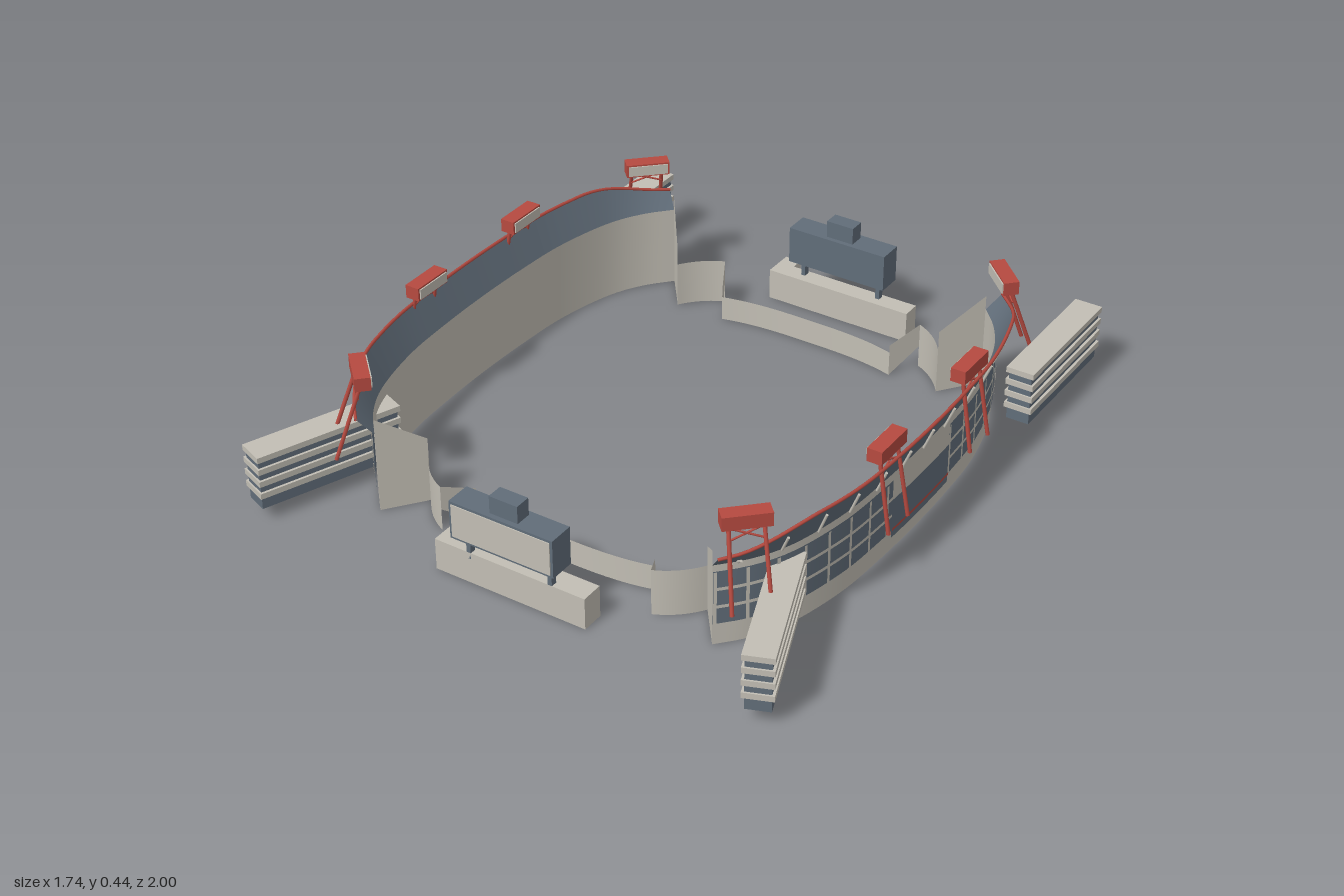
import * as THREE from 'three';

const mat = (name, color, side = THREE.DoubleSide) => {
  const m = new THREE.MeshStandardMaterial({ color, side });
  m.name = name;
  return m;
};

export function createModel() {
  const concrete = mat('concrete', 0xc2beb4);
  const slate = mat('slate', 0x616d79);
  const red = mat('red', 0xb64a40);
  const model = new THREE.Group();
  model.name = 'stadium';

  const add = (parent, name, geo, material) => {
    const mesh = new THREE.Mesh(geo, material);
    mesh.name = name;
    parent.add(mesh);
    return mesh;
  };
  const box = (parent, name, m, x0, x1, y0, y1, z0, z1) => {
    const b = add(parent, name, new THREE.BoxGeometry(x1 - x0, y1 - y0, z1 - z0), m);
    b.position.set((x0 + x1) / 2, (y0 + y1) / 2, (z0 + z1) / 2);
    return b;
  };
  const bar = (parent, name, m, a, b, r) => {
    const va = new THREE.Vector3(...a), d = new THREE.Vector3(...b).sub(va);
    const mesh = add(parent, name, new THREE.CylinderGeometry(r, r, d.length(), 8), m);
    mesh.position.copy(va).addScaledVector(d, 0.5);
    mesh.quaternion.setFromUnitVectors(new THREE.Vector3(0, 1, 0), d.normalize());
  };
  // Surface between two edges, each given as a function of u returning [x, y, z]
  const strip = (parent, name, m, lower, upper, n = 48, u0 = 0, u1 = 1) => {
    const pos = [], idx = [];
    for (let i = 0; i <= n; i++) {
      const u = u0 + (u1 - u0) * i / n;
      pos.push(...lower(u), ...upper(u));
      if (i < n) idx.push(2 * i, 2 * i + 1, 2 * i + 2, 2 * i + 1, 2 * i + 3, 2 * i + 2);
    }
    const g = new THREE.BufferGeometry();
    g.setAttribute('position', new THREE.Float32BufferAttribute(pos, 3));
    g.setIndex(idx);
    g.computeVertexNormals();
    return add(parent, name, g, m);
  };

  // Plan of the left stand, from its back end (u = 0) to its front end (u = 1)
  const half = [[0.555, 0.755], [0.62, 0.68], [0.675, 0.58], [0.725, 0.38], [0.74, 0.2]];
  const plan = new THREE.CatmullRomCurve3([
    ...half.map(([x, z]) => new THREE.Vector3(x, 0, -z)),
    new THREE.Vector3(0.745, 0, 0),
    ...half.slice().reverse().map(([x, z]) => new THREE.Vector3(x, 0, z)),
  ]);
  const at = (off, y) => u => {
    const p = plan.getPointAt(u), t = plan.getTangentAt(u);
    return [p.x + t.z * off, typeof y === 'function' ? y(u) : y, p.z - t.x * off];
  };
  const rimY = u => 0.365 - 0.055 * THREE.MathUtils.smoothstep(Math.abs(u - 0.5), 0.33, 0.5);

  const stand = new THREE.Group();
  stand.name = 'leftStand';
  stand.position.z = 0.015;

  // Main wall and windowed facade
  strip(stand, 'wall', concrete, at(0, 0), at(0, 0.262));
  strip(stand, 'windowBand', slate, at(0.005, 0.07), at(0.005, 0.24));
  for (const y of [0.128, 0.185]) strip(stand, 'facadeRail', concrete, at(0.009, y - 0.005), at(0.009, y + 0.005));
  const mullions = 18;
  for (let i = 0; i <= mullions; i++) {
    const u = 0.003 + 0.994 * i / mullions;
    if (Math.abs(u - 0.5) < 0.1) continue;
    strip(stand, 'mullion', concrete, at(0.009, 0.07), at(0.009, 0.24), 1, u - 0.003, u + 0.003);
  }
  // Entrance bay in the middle of the facade
  strip(stand, 'entranceGlass', slate, at(0.014, 0.06), at(0.014, 0.187), 10, 0.4, 0.6);
  strip(stand, 'entranceHeader', concrete, at(0.014, 0.187), at(0.014, 0.255), 10, 0.4, 0.6);
  strip(stand, 'entranceStripe', red, at(0.017, 0.085), at(0.017, 0.093), 10, 0.4, 0.6);

  // Flared upper tier with ribs and a red rim
  strip(stand, 'upperTier', slate, at(0, 0.258), at(0.048, rimY));
  const ribs = 13;
  for (let i = 0; i < ribs; i++) {
    const u = 0.04 + 0.92 * i / (ribs - 1);
    bar(stand, 'rib', concrete, at(0.014, 0.268)(u), at(0.042, rimY(u) - 0.028)(u), 0.004);
  }
  const rimPoints = Array.from({ length: 25 }, (_, i) => new THREE.Vector3(...at(0.048, rimY)(i / 24)));
  add(stand, 'rim', new THREE.TubeGeometry(new THREE.CatmullRomCurve3(rimPoints), 60, 0.005, 6), red);

  // Lamp mast: local x points outward
  const mast = (x, z, angle, lean) => {
    const g = new THREE.Group();
    g.name = 'lightMast';
    g.position.set(x, 0, z);
    g.rotation.y = -angle;
    box(g, 'lampHousing', red, -0.023, 0.023, 0.393, 0.435, -0.068, 0.068);
    box(g, 'lampFace', concrete, -0.027, -0.023, 0.398, 0.43, -0.062, 0.062);
    for (const s of [-1, 1]) {
      bar(g, 'mastLeg', red, [0.005, 0.4, s * 0.047], [lean, 0.17, s * 0.053], 0.006);
      bar(g, 'mastBrace', red, [0.007, 0.39, s * 0.047], [0.015, 0.355, -s * 0.048], 0.003);
    }
    stand.add(g);
  };
  for (const s of [-1, 1]) {
    mast(0.768, s * 0.232, 0, 0.045);
    mast(0.628, s * 0.712, s * 0.8, 0.088);

    // Wing wall, gate wall and the sloped link to the low end wall
    const line = (a, b, y) => u => [a[0] + (b[0] - a[0]) * u, Array.isArray(y) ? y[0] + (y[1] - y[0]) * u : y, s * (a[1] + (b[1] - a[1]) * u)];
    strip(stand, 'wingWall', concrete, line([0.555, 0.755], [0.465, 0.637], 0), line([0.555, 0.755], [0.465, 0.637], [0.305, 0.21]), 1);
    const arc = new THREE.QuadraticBezierCurve(new THREE.Vector2(0.465, 0.637), new THREE.Vector2(0.42, 0.705), new THREE.Vector2(0.35, 0.735));
    const gate = y => u => { const p = arc.getPoint(u); return [p.x, y, s * p.y]; };
    strip(stand, 'gateWall', concrete, gate(0), gate(0.147), 10);
    strip(stand, 'gateLink', concrete, line([0.35, 0.735], [0.3, 0.64], [0.07, 0]), line([0.35, 0.735], [0.3, 0.64], [0.147, 0.105]), 1);
  }
  model.add(stand);
  const rightStand = stand.clone();
  rightStand.name = 'rightStand';
  rightStand.scale.x = -1;
  model.add(rightStand);

  // Low curved walls and scoreboards at both ends
  for (const s of [-1, 1]) {
    const low = y => u => {
      const k = 2 * u - 1;
      return [0.3 * k, y, 0.015 + s * (0.668 - 0.028 * Math.abs(k) ** 3)];
    };
    strip(model, s > 0 ? 'frontEndWall' : 'backEndWall', concrete, low(0), low(0.08), 24);

    const board = new THREE.Group();
    board.name = s > 0 ? 'frontScoreboard' : 'backScoreboard';
    board.position.z = s > 0 ? 0.89 : -0.86;
    box(board, 'screenBox', slate, -0.175, 0.163, 0.155, 0.275, -0.04, 0.04);
    const face = s * 0.0415;
    box(board, 'screenFace', concrete, -0.167, 0.155, 0.163, 0.267, face - 0.0015, face + 0.0015);
    box(board, 'topBox', slate, -0.05, 0.042, 0.275, 0.33, -0.025, 0.025);
    for (const x of [-0.14, 0.128]) box(board, 'leg', slate, x - 0.007, x + 0.007, 0.08, 0.16, -0.01, 0.01);
    model.add(board);
  }
  box(model, 'frontBase', concrete, -0.255, 0.24, 0, 0.1, 0.83, 0.9);
  box(model, 'backBase', concrete, -0.245, 0.25, 0, 0.1, -0.88, -0.82);
  box(model, 'backBaseBlock', concrete, -0.245, -0.192, 0, 0.1, -0.92, -0.82);

  // Louvred access ramps at the four corners
  const ramp = (x, z, angle, name) => {
    const g = new THREE.Group();
    g.name = name;
    g.position.set(x, 0, z);
    g.rotation.y = angle;
    box(g, 'rampCore', slate, -0.036, 0.036, 0.045, 0.21, -0.222, 0.222);
    for (const y of [0.212, 0.172, 0.132, 0.092])
      box(g, 'rampDeck', concrete, -0.044, 0.044, y - 0.009, y + 0.009, -0.2275, 0.2275);
    model.add(g);
  };
  for (const s of [-1, 1]) {
    ramp(s * 0.772, -0.7725, 0, 'backRamp');
    ramp(s * 0.745, 0.772, s * 0.37, 'frontRamp');
  }
  return model;
}
